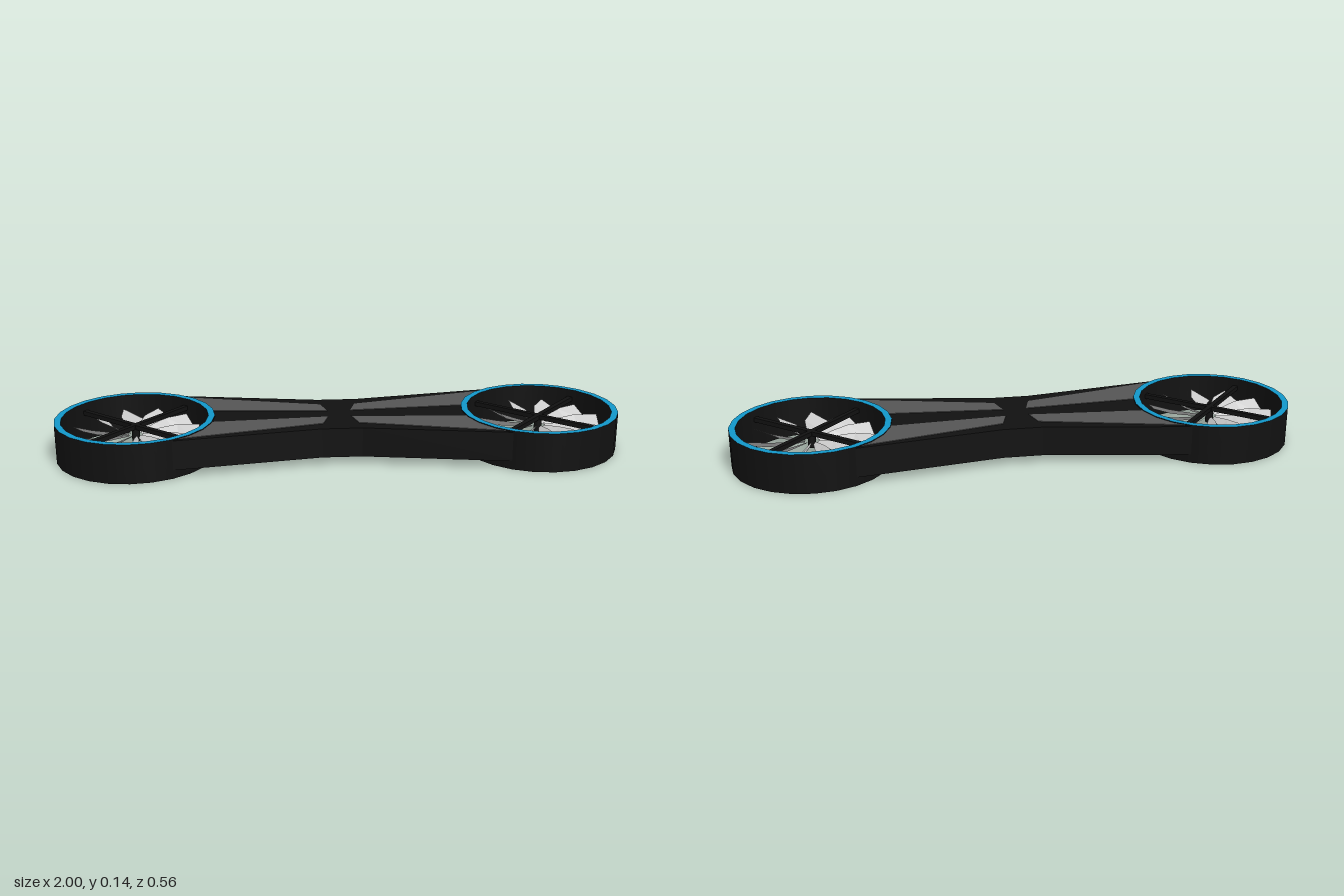
import * as THREE from 'three';

const CX = 0.72, R = 0.28, R_IN = 0.257, H = 0.14, BLADES = 11;
const paint = (color, extra = {}) => new THREE.MeshStandardMaterial({ color, ...extra });

function add(parent, name, geometry, material, y = 0) {
  const mesh = new THREE.Mesh(geometry, material);
  mesh.name = name;
  mesh.position.y = y;
  parent.add(mesh);
  return mesh;
}

// Plan outline (x, z) extruded upwards between two heights
function slab(points, y0, y1) {
  const geo = new THREE.ExtrudeGeometry(new THREE.Shape(points), { depth: y1 - y0, bevelEnabled: false });
  geo.rotateX(-Math.PI / 2);
  geo.translate(0, y0, 0);
  return geo;
}

// Points along a duct's rim, seen from its centre at +CX, angles in degrees
function rimArc(from, to, steps, r = 0.272) {
  return Array.from({ length: steps + 1 }, (_, i) => {
    const a = THREE.MathUtils.degToRad(from + (to - from) * i / steps);
    return new THREE.Vector2(CX + r * Math.cos(a), r * Math.sin(a));
  });
}

// Swept, pitched blade made of cross-sections: radius, low edge angle, high edge angle, rise
function bladeGeometry() {
  const sections = [
    [0.025, -6, 14, 0.008], [0.09, -9, 12, 0.025], [0.15, -13, 9, 0.038], [0.226, -19, 0, 0.045],
  ];
  const pos = [], index = [];
  sections.forEach(([r, low, high, rise], i) => {
    for (const [deg, y] of [[low, -rise / 2], [high, rise / 2]]) {
      const a = THREE.MathUtils.degToRad(deg);
      pos.push(r * Math.cos(a), y, -r * Math.sin(a));
    }
    if (i) {
      const k = i * 2;
      index.push(k - 2, k, k - 1, k - 1, k, k + 1);
    }
  });
  const geo = new THREE.BufferGeometry();
  geo.setAttribute('position', new THREE.Float32BufferAttribute(pos, 3));
  geo.setIndex(index);
  geo.computeVertexNormals();
  return geo;
}

export function createModel() {
  const model = new THREE.Group();
  model.name = 'twinFanUnit';
  const black = paint(0x111111);
  const grey = paint(0x555555);
  const blue = paint(0x1296c8);
  const silver = paint(0xcccccc, { side: THREE.DoubleSide, flatShading: true });

  // Waisted connecting body, hollowed at both ends to meet the ducts
  const end = rimArc(244, 116, 12);
  const mirrored = end.map(p => new THREE.Vector2(-p.x, -p.y));
  const V = (x, z) => new THREE.Vector2(x, z);
  const outline = [V(-0.07, -0.158), V(0.07, -0.158), ...end,
    V(0.07, 0.158), V(-0.07, 0.158), ...mirrored];
  add(model, 'connectingBody', slab(outline, 0.03, 0.135), black);

  // Four tapered panels, showing on both the upper and lower faces
  for (const sx of [1, -1]) for (const sz of [1, -1]) {
    const pts = [V(0.04, 0.03), ...rimArc(168, 126, 6, 0.277), V(0.062, 0.105)]
      .map(p => V(p.x * sx, p.y * sz));
    add(model, 'inlayPanel', slab(pts, 0.028, 0.137), grey);
  }

  // Duct wall profile, closed, with hard corners
  const wall = [
    [[R, 0], [R, H]], [[R, H], [R_IN, H]], [[R_IN, H], [R_IN, 0]], [[R_IN, 0], [R, 0]],
  ].map(seg => new THREE.LatheGeometry(seg.map(p => V(...p)), 24));
  const blade = bladeGeometry();

  for (const side of [1, -1]) {
    const fan = new THREE.Group();
    fan.name = side > 0 ? 'leftFan' : 'rightFan';
    fan.position.x = side * CX;
    model.add(fan);

    // Outer and inner walls in black, coloured rims at top and bottom
    ['ductOuterWall', 'topRim', 'ductInnerWall', 'bottomRim'].forEach((name, i) =>
      add(fan, name, wall[i], i % 2 ? blue : black));

    // Crossed support struts and central hub
    for (const angle of [-0.7, 0.86]) {
      add(fan, 'strut', new THREE.BoxGeometry(0.515, 0.016, 0.018), black, 0.105).rotation.y = angle;
    }
    add(fan, 'hub', new THREE.CylinderGeometry(0.014, 0.014, 0.055, 12), black, 0.08);

    // Ring of blades
    for (let i = 0; i < BLADES; i++) {
      add(fan, 'blade', blade, silver, 0.075).rotation.y = i * 2 * Math.PI / BLADES + 0.14;
    }
  }
  return model;
}
